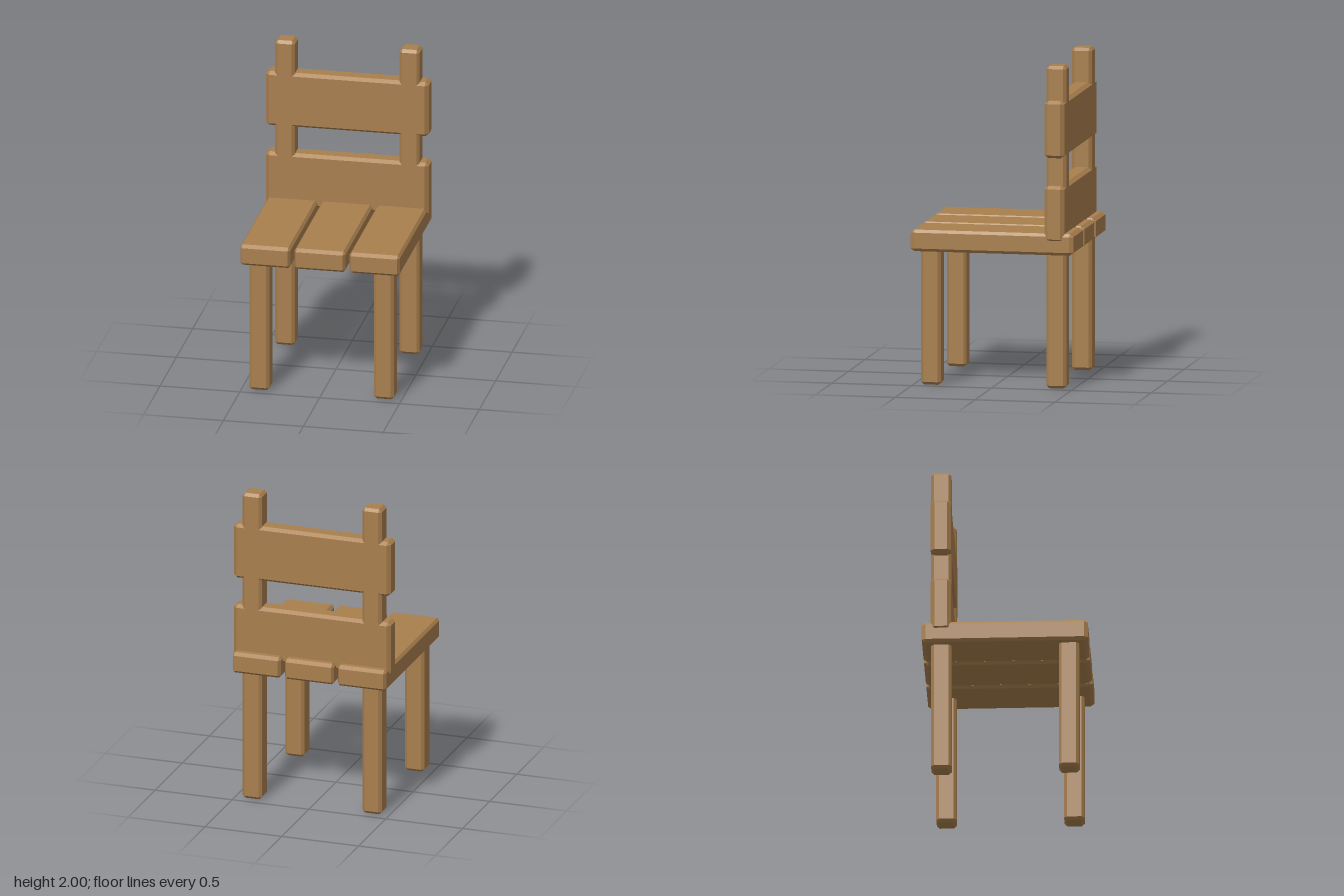
import * as THREE from 'three';
import { ConvexGeometry } from 'three/addons/geometries/ConvexGeometry.js';

// Box between two corners with flat chamfers of size c (x, y, z)
function chamferedBox(min, max, c) {
  const mid = min.map((v, i) => (v + max[i]) / 2);
  const half = min.map((v, i) => (max[i] - v) / 2);
  const points = [];
  for (const sx of [-1, 1]) for (const sy of [-1, 1]) for (const sz of [-1, 1]) {
    const sign = [sx, sy, sz];
    for (let face = 0; face < 3; face++) {
      points.push(new THREE.Vector3(...sign.map((s, i) =>
        mid[i] + s * (half[i] - (i === face ? 0 : c[i])))));
    }
  }
  return new ConvexGeometry(points);
}

export function createModel() {
  const chair = new THREE.Group();
  chair.name = 'chair';
  const wood = new THREE.MeshStandardMaterial({ color: 0xa97f4e });
  wood.name = 'wood';

  const add = (name, min, max, c) => {
    const mesh = new THREE.Mesh(chamferedBox(min, max, c), wood);
    mesh.name = name;
    chair.add(mesh);
  };

  // Seat: three planks running front to back
  [[-0.5, -0.185], [-0.16, 0.16], [0.185, 0.5]].forEach(([x0, x1], i) =>
    add(`seatPlank${i + 1}`, [x0, 0.833, -0.51], [x1, 0.967, 0.51], [0.014, 0.018, 0.024]));

  // Short front legs and tall back posts, mirrored left and right
  for (const [side, x] of [['right', -0.39], ['left', 0.39]]) {
    const c = [0.018, 0.018, 0.018];
    add(`${side}FrontLeg`, [x - 0.063, 0, 0.33], [x + 0.063, 0.9, 0.455], c);
    add(`${side}BackPost`, [x - 0.063, 0, -0.455], [x + 0.063, 2, -0.33], c);
  }

  // Two wide backrest boards
  [['lowerBackBoard', 0.915, 1.262], ['upperBackBoard', 1.436, 1.79]].forEach(([name, y0, y1]) =>
    add(name, [-0.51, y0, -0.455], [0.51, y1, -0.33], [0.022, 0.018, 0.024]));

  return chair;
}
